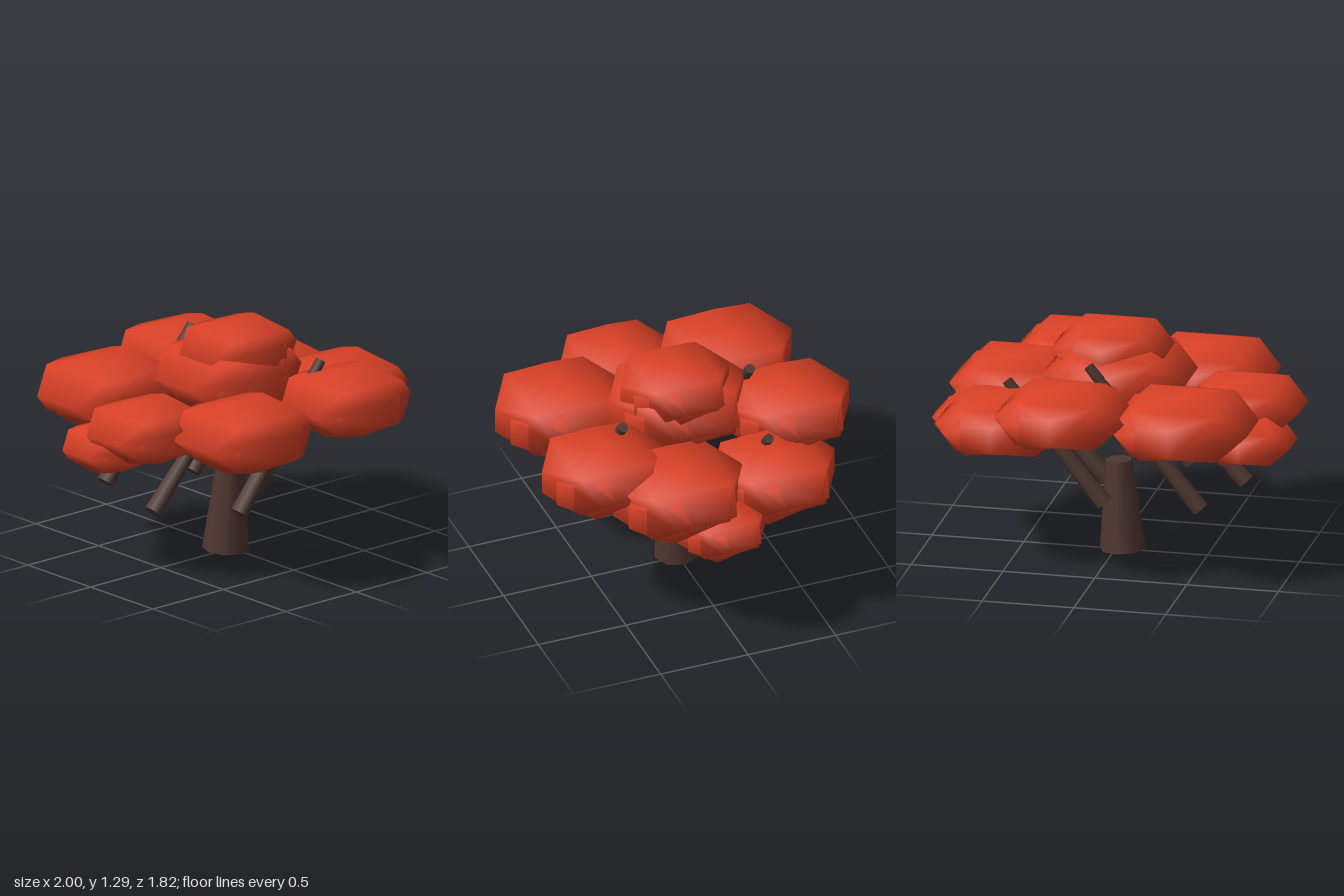
import * as THREE from 'three';
import { mergeVertices } from 'three/addons/utils/BufferGeometryUtils.js';

const leafRed = new THREE.MeshStandardMaterial({ name: 'leaf red', color: 0xd84025 });
const barkBrown = new THREE.MeshStandardMaterial({ name: 'bark brown', color: 0x4e362f });

// Twelve-sided puff with shared smooth normals, half-width 1
function makePuffGeometry() {
  const g = new THREE.DodecahedronGeometry(1 / 0.934);
  g.deleteAttribute('normal');
  g.deleteAttribute('uv');
  const merged = mergeVertices(g, 1e-4);
  merged.computeVertexNormals();
  return merged;
}

// Tapered round limb from one point to another
function makeLimb(name, from, to, r0, r1, sides) {
  const a = new THREE.Vector3(...from);
  const b = new THREE.Vector3(...to);
  const dir = b.clone().sub(a);
  const mesh = new THREE.Mesh(new THREE.CylinderGeometry(r1, r0, dir.length(), sides), barkBrown);
  mesh.name = name;
  mesh.position.copy(a).add(b).multiplyScalar(0.5);
  mesh.quaternion.setFromUnitVectors(new THREE.Vector3(0, 1, 0), dir.normalize());
  return mesh;
}

export function createModel() {
  const tree = new THREE.Group();
  tree.name = 'tree';

  // Trunk, leaning slightly
  tree.add(makeLimb('trunk', [-0.04, 0.01, -0.002], [-0.015, 0.503, 0.01], 0.125, 0.073, 8));

  // Slanted branches
  const branches = [
    [[-0.32, 0.37, 0.42], [0.26, 1.1, 0.42]],
    [[-0.55, 0.395, -0.39], [0.06, 1.15, -0.385]],
    [[-0.01, 0.36, -0.31], [0.52, 1.01, -0.31]],
    [[0.07, 0.355, 0.11], [0.61, 0.97, 0.1]],
    [[-0.68, 0.385, 0.135], [-0.15, 0.95, 0.13]],
  ];
  for (const [from, to] of branches) tree.add(makeLimb('branch', from, to, 0.05, 0.028, 7));

  // Foliage clumps: x, y, z, half-width
  const clumps = [
    [0.02, 1.13, 0.03, 0.31],
    [-0.025, 1.0, 0, 0.39],
    [0.315, 0.905, 0.56, 0.345],
    [-0.385, 0.86, 0.53, 0.365],
    [-0.68, 0.84, 0.09, 0.32],
    [-0.75, 0.71, -0.13, 0.25],
    [-0.47, 0.89, -0.45, 0.38],
    [0.155, 0.93, -0.56, 0.35],
    [0.53, 0.79, -0.33, 0.35],
    [0.555, 0.835, 0.225, 0.37],
    [0.74, 0.68, 0.05, 0.25],
  ];
  const puffGeometry = makePuffGeometry();
  for (const [x, y, z, r] of clumps) {
    const clump = new THREE.Group();
    clump.name = 'foliageClump';
    clump.position.set(x, y, z);

    const main = new THREE.Mesh(puffGeometry, leafRed);
    main.name = 'leafPuff';
    main.scale.set(r, r * 0.535, r);

    // Smaller turned puff peeking out of the side
    const inner = new THREE.Mesh(puffGeometry, leafRed);
    inner.name = 'innerLeafPuff';
    inner.position.set(r * 0.08, r * -0.06, r * 0.01);
    inner.rotation.y = 0.28;
    inner.scale.set(r * 0.91, r * 0.49, r * 0.91);

    clump.add(main, inner);
    tree.add(clump);
  }
  return tree;
}
